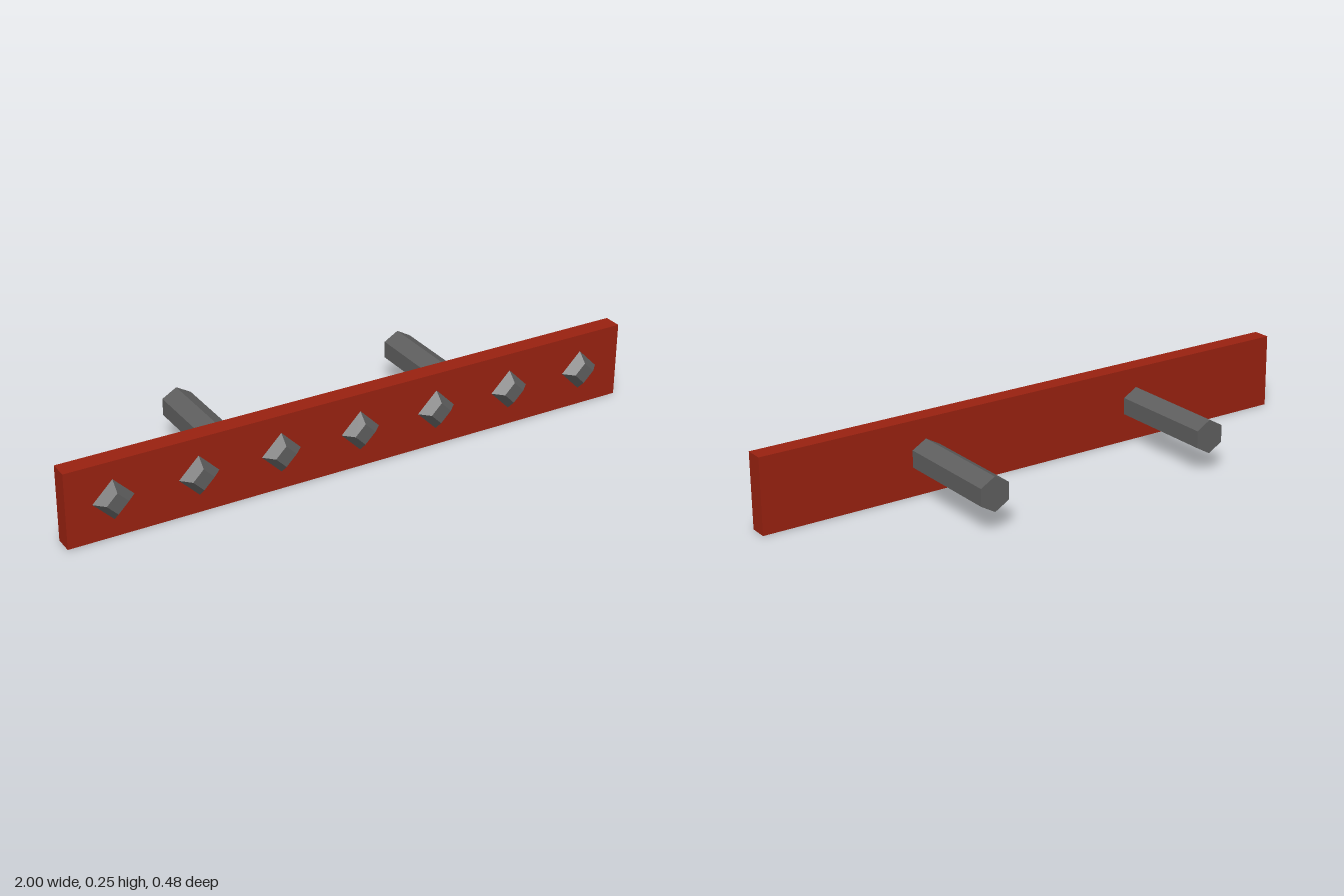
import * as THREE from 'three';

export function createModel() {
  const model = new THREE.Group();
  const red = new THREE.MeshStandardMaterial({ name: 'redPaint', color: 0x982110, flatShading: true });
  const steel = new THREE.MeshStandardMaterial({ name: 'darkSteel', color: 0x5e5e5e, flatShading: true });
  const midY = 0.1275;

  const add = (name, geometry, material, x, y, z) => {
    const mesh = new THREE.Mesh(geometry, material);
    mesh.name = name;
    mesh.position.set(x, y, z);
    model.add(mesh);
  };

  // Long upright board
  add('board', new THREE.BoxGeometry(2, 0.255, 0.062), red, 0, midY, 0.179);

  // Row of diamond-shaped studs on the front face, narrowing forward
  const stud = new THREE.CylinderGeometry(0.036, 0.068, 0.032, 4).rotateX(Math.PI / 2);
  for (let i = -3; i <= 3; i++) add('stud', stud, steel, i * 0.282, midY, 0.226);

  // Two hexagonal posts behind the board, with a corner pointing up
  const post = new THREE.CylinderGeometry(0.058, 0.058, 0.39, 6).rotateX(Math.PI / 2);
  for (const side of [-1, 1]) add('post', post, steel, side * 0.417, midY, -0.047);

  return model;
}
